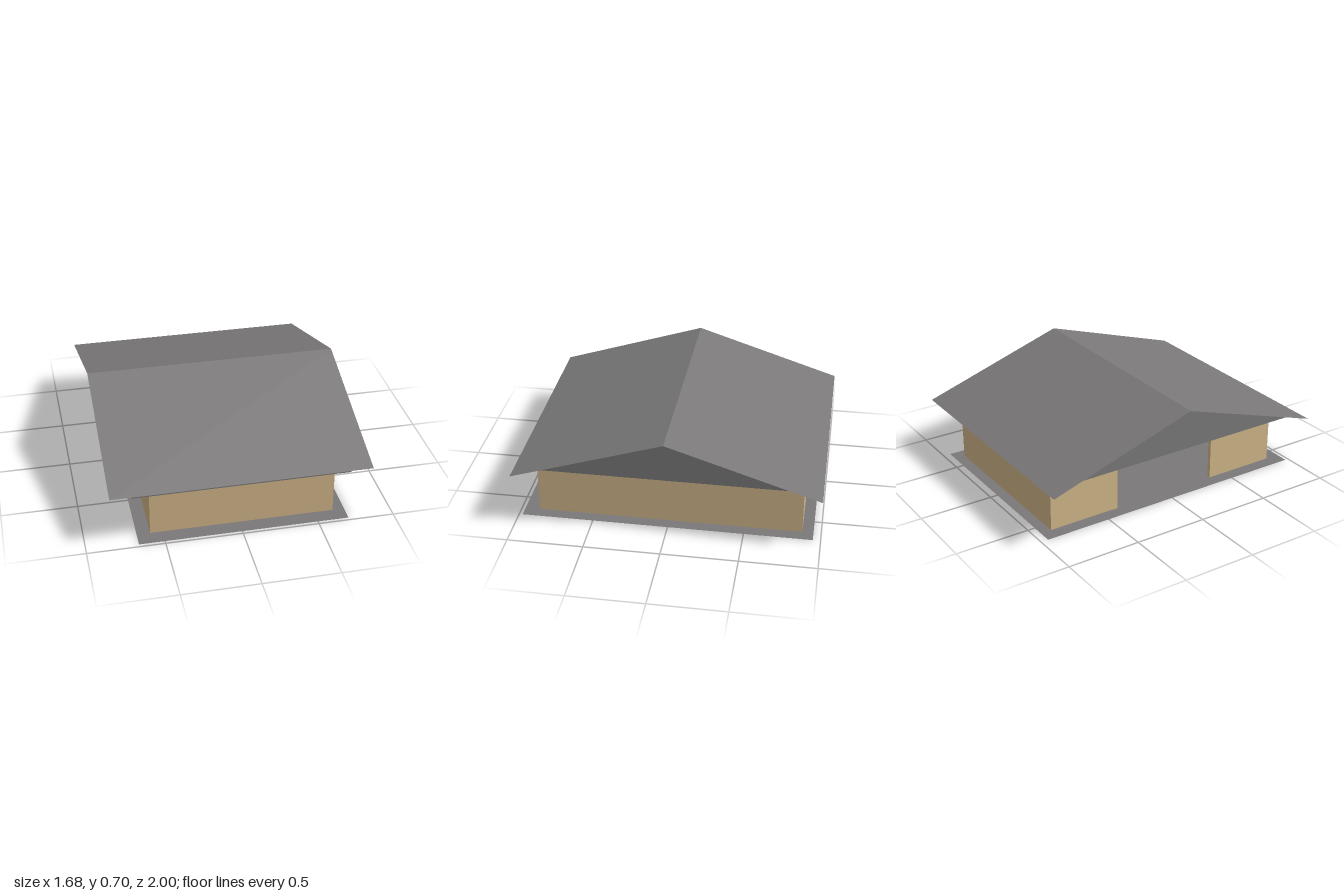
import * as THREE from 'three';

export function createModel() {
  const house = new THREE.Group();
  house.name = 'house';

  const wallTan = new THREE.MeshStandardMaterial({ color: 0xcfb588 });
  wallTan.name = 'wallTan';
  const roofGray = new THREE.MeshStandardMaterial({ color: 0x7a7879, side: THREE.DoubleSide });
  roofGray.name = 'roofGray';

  const add = (name, geometry, material) => {
    const mesh = new THREE.Mesh(geometry, material);
    mesh.name = name;
    house.add(mesh);
    return mesh;
  };

  // Paper-thin floor sheet
  const floorX = [-0.667, 0.705], floorZ = [-0.95, 0.977];
  const floor = add('floor',
    new THREE.PlaneGeometry(floorX[1] - floorX[0], floorZ[1] - floorZ[0]).rotateX(-Math.PI / 2), roofGray);
  floor.position.set((floorX[0] + floorX[1]) / 2, 0, (floorZ[0] + floorZ[1]) / 2);

  // Walls, given as x and z extents
  const T = 0.025, top = 0.362, base = 0.001;
  const L = -0.58, R = 0.626, D = 0.877, gap = 0.375;
  const wall = (name, x0, x1, z0, z1) => {
    const mesh = add(name, new THREE.BoxGeometry(x1 - x0, top - base, z1 - z0), wallTan);
    mesh.position.set((x0 + x1) / 2, (top + base) / 2, (z0 + z1) / 2);
  };
  wall('frontWall', L + T, R, D - T, D);
  wall('backWall', L + T, R, -D, -D + T);
  wall('closedSideWall', R - T, R, -D + T, D - T);
  // Open side: two stubs with a wide opening between them
  wall('openSideWallFront', L, L + T, gap, D);
  wall('openSideWallBack', L, L + T, -D, -gap);

  // Attic block: ceiling and recessed gables in one five-sided prism
  const ridgeY = 0.705, eaveY = 0.384, slope = ridgeY - eaveY;
  const atticZ = 0.978, under = 0.003, atticX = 0.702;
  const shoulder = ridgeY - slope * atticZ - under;
  const profile = new THREE.Shape([
    [-atticZ, 0.36], [atticZ, 0.36], [atticZ, shoulder], [0, ridgeY - under], [-atticZ, shoulder],
  ].map(([z, y]) => new THREE.Vector2(z, y)));
  add('attic', new THREE.ExtrudeGeometry(profile, { depth: atticX * 2, bevelEnabled: false })
    .translate(0, 0, -atticX).rotateY(Math.PI / 2), roofGray);

  // Thin roof sheets overhanging the gables
  for (const side of [1, -1]) {
    const sheet = new THREE.PlaneGeometry(1.68, Math.hypot(1, slope));
    sheet.rotateX(-Math.PI / 2 + Math.atan(slope));
    sheet.translate(0, (ridgeY + eaveY) / 2, 0.5);
    if (side < 0) sheet.rotateY(Math.PI);
    add(side > 0 ? 'frontRoof' : 'backRoof', sheet, roofGray);
  }

  return house;
}
